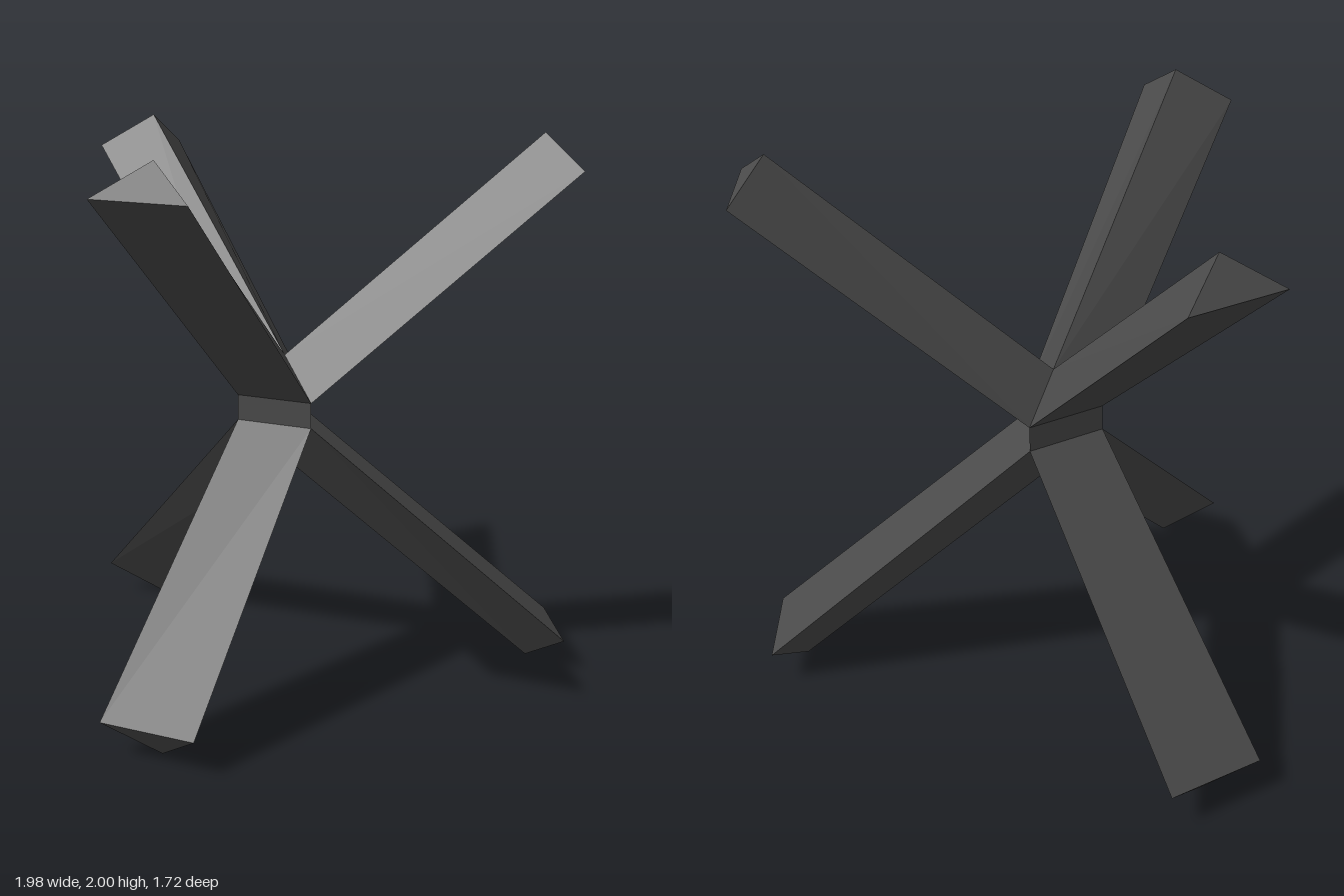
import * as THREE from 'three';

const HUB_HALF = 0.047; // half height of the hub
const HUB_R = 0.172;    // hub corner radius

// Triangular arm along +z; corner order per end: left, right, ridge
function armGeometry() {
  const inner = [[-0.149, HUB_HALF, 0.086], [0.149, HUB_HALF, 0.086], [0, 0.195, 0]];
  const outer = [[-0.18, 0.88, 1.042], [0.18, 0.88, 1.042], [0, 1, 0.935]];
  const tris = [...outer, inner[0], inner[2], inner[1]]; // end caps
  for (let i = 0; i < 3; i++) {
    const j = (i + 1) % 3;
    tris.push(inner[i], inner[j], outer[j], inner[i], outer[j], outer[i]);
  }
  const geo = new THREE.BufferGeometry();
  geo.setAttribute('position', new THREE.Float32BufferAttribute(tris.flat(), 3));
  geo.computeVertexNormals();
  return geo;
}

export function createModel() {
  const model = new THREE.Group();
  model.name = 'sixArmBarrier';
  const mat = new THREE.MeshStandardMaterial({ color: 0x4a4a4a, flatShading: true });

  // Three-sided hub, one corner pointing back
  const hub = new THREE.Mesh(new THREE.CylinderGeometry(HUB_R, HUB_R, HUB_HALF * 2, 3), mat);
  hub.name = 'hub';
  hub.rotation.y = Math.PI;
  model.add(hub);

  // Three arms rising and three falling, 120 degrees apart
  const geo = armGeometry();
  ['front', 'backLeft', 'backRight'].forEach((side, i) => {
    const pair = new THREE.Group();
    pair.name = side + 'Arms';
    pair.rotation.y = (i * Math.PI * 2) / 3;
    for (const upper of [true, false]) {
      const arm = new THREE.Mesh(geo, mat);
      arm.name = side + (upper ? 'UpperArm' : 'LowerArm');
      arm.rotation.z = upper ? 0 : Math.PI;
      pair.add(arm);
    }
    model.add(pair);
  });

  model.position.set(0, 1, -0.185);
  const root = new THREE.Group();
  root.name = 'barrier';
  root.add(model);
  return root;
}
